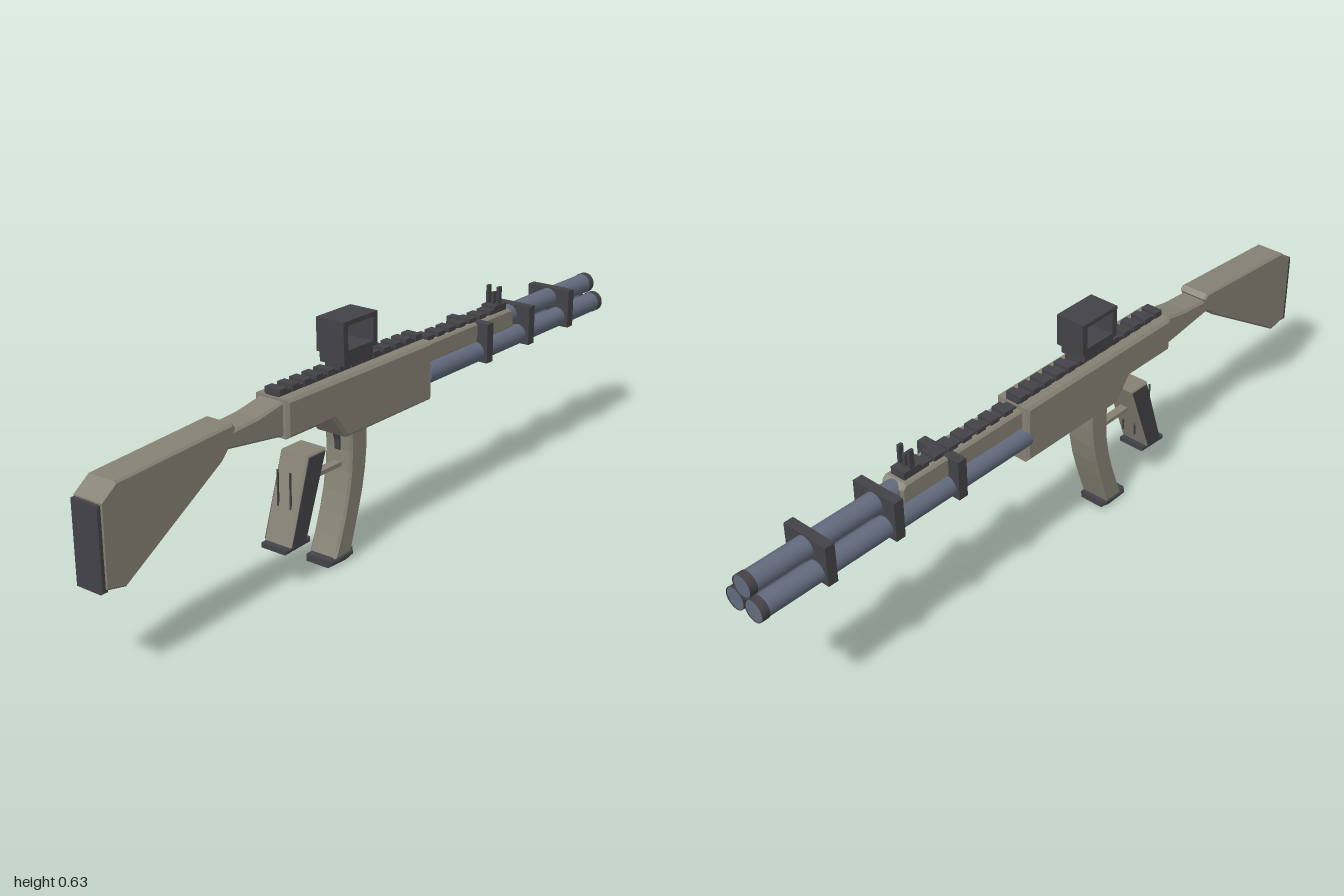
import * as THREE from 'three';

const tan = new THREE.MeshStandardMaterial({ color: 0x858174 });
tan.name = 'olive tan';
const dark = new THREE.MeshStandardMaterial({ color: 0x434247 });
dark.name = 'charcoal';
const steel = new THREE.MeshStandardMaterial({ color: 0x626a7d });
steel.name = 'blue steel';
const ringMat = dark.clone();
ringMat.name = 'charcoal open';
ringMat.side = THREE.DoubleSide;

export function createModel() {
  const model = new THREE.Group();
  const add = (name, geo, mat, x = 0, y = 0, z = 0) => {
    const m = new THREE.Mesh(geo, mat);
    m.name = name;
    m.position.set(x, y, z);
    model.add(m);
    return m;
  };
  // box given by half width and its y and z ranges
  const box = (name, mat, hw, y0, y1, z0, z1, x = 0) =>
    add(name, new THREE.BoxGeometry(hw * 2, y1 - y0, z1 - z0), mat, x, (y0 + y1) / 2, (z0 + z1) / 2);
  // side profile of [z, y] points, extruded across x with chamfered edges
  const slab = (name, mat, pts, hw, bevel = 0, x = 0, holes = []) => {
    const shape = new THREE.Shape(pts.map(p => new THREE.Vector2(...p)));
    holes.forEach(h => shape.holes.push(new THREE.Path(h.map(p => new THREE.Vector2(...p)))));
    const depth = 2 * (hw - bevel);
    const geo = new THREE.ExtrudeGeometry(shape, {
      depth, bevelEnabled: bevel > 0, bevelThickness: bevel, bevelSize: bevel,
      bevelOffset: -bevel, bevelSegments: 1, curveSegments: 6,
    });
    geo.translate(0, 0, -depth / 2).rotateY(-Math.PI / 2);
    return add(name, geo, mat, x);
  };

  // stock, butt plate and neck
  slab('stock', tan, [[0.99, 0.235], [0.99, 0.437], [0.945, 0.47], [0.588, 0.491], [0.577, 0.478],
    [0.604, 0.432], [0.625, 0.41], [0.93, 0.222]], 0.043, 0.005);
  slab('buttPlate', dark, [[1, 0.228], [1, 0.433], [0.98, 0.433], [0.98, 0.228]], 0.04, 0.003);
  slab('neck', tan, [[0.61, 0.47], [0.5, 0.477], [0.41, 0.493], [0.41, 0.404], [0.61, 0.432]], 0.038, 0.006);

  // receiver
  slab('receiver', tan, [[0.415, 0.498], [-0.152, 0.498], [-0.152, 0.338], [0.195, 0.338],
    [0.245, 0.4], [0.415, 0.4]], 0.053, 0.008);

  // handguard between the tubes
  slab('handguard', tan, [[-0.14, 0.487], [-0.545, 0.487], [-0.558, 0.475], [-0.558, 0.432], [-0.14, 0.432]],
    0.035, 0.005);

  // three barrels with dark muzzle rings
  for (const [x, y, z0] of [[0, 0.458, -0.54], [-0.031, 0.406, -0.14], [0.031, 0.406, -0.14]]) {
    const len = z0 + 0.998;
    add('barrel', new THREE.CylinderGeometry(0.028, 0.028, len, 24).rotateX(Math.PI / 2), steel, x, y, z0 - len / 2);
    add('muzzleRing', new THREE.CylinderGeometry(0.0295, 0.0295, 0.022, 24, 1, true).rotateX(Math.PI / 2),
      ringMat, x, y, -0.989);
  }

  // barrel clamps
  for (const z of [-0.395, -0.6, -0.807]) box('clamp', dark, 0.068, 0.379, 0.488, z - 0.014, z + 0.014);

  // top rails with cross teeth
  box('rearRail', dark, 0.02, 0.495, 0.508, -0.15, 0.41);
  for (let i = 0; i < 13; i++) {
    const z = -0.132 + i * 0.044;
    box('rearRailTooth', dark, 0.024, 0.5, 0.516, z - 0.013, z + 0.013);
  }
  box('frontRail', dark, 0.016, 0.484, 0.492, -0.5, -0.15);
  for (let i = 0; i < 7; i++) {
    const z = -0.185 - i * 0.048;
    box('frontRailTooth', dark, 0.022, 0.486, 0.499, z - 0.015, z + 0.015);
  }

  // boxy sight, open from side to side
  box('sightBase', dark, 0.039, 0.516, 0.546, 0.078, 0.19);
  slab('sightFrame', dark, [[0.197, 0.544], [0.197, 0.631], [0.065, 0.631], [0.065, 0.544]], 0.043, 0, 0,
    [[[0.18, 0.557], [0.082, 0.557], [0.082, 0.619], [0.18, 0.619]]]);

  // front sight with three prongs
  box('frontSightBase', dark, 0.022, 0.485, 0.507, -0.537, -0.483);
  for (const x of [-0.017, 0, 0.017]) {
    box('frontSightProng', dark, 0.004, 0.5, x ? 0.557 : 0.54, -0.516, -0.502, x);
  }

  // curved magazine and its foot
  slab('magazine', tan, [[0.172, 0.345], [0.104, 0.345], [0.105, 0.29], [0.111, 0.235], [0.122, 0.18],
    [0.138, 0.125], [0.156, 0.07], [0.174, 0.018], [0.238, 0.018], [0.218, 0.07], [0.199, 0.125],
    [0.184, 0.18], [0.174, 0.235], [0.17, 0.29]], 0.043, 0.006);
  slab('magazineFoot', dark, [[0.257, 0.002], [0.257, 0.022], [0.16, 0.026], [0.16, 0.006], [0.185, 0]],
    0.043, 0.008);

  // pistol grip with side panels and foot
  slab('grip', tan, [[0.336, 0.332], [0.265, 0.332], [0.345, 0.112], [0.404, 0.112]], 0.043, 0.004);
  for (const s of [-1, 1]) {
    slab('gripPanel', dark, [[0.332, 0.326], [0.272, 0.326], [0.349, 0.115], [0.4, 0.115]], 0.003, 0, s * 0.0415);
  }
  slab('gripFoot', dark, [[0.42, 0.1], [0.42, 0.113], [0.328, 0.118], [0.328, 0.104]], 0.041, 0.003);

  // trigger, linking bar and thin pins
  slab('trigger', dark, [[0.185, 0.342], [0.16, 0.342], [0.162, 0.3], [0.168, 0.285], [0.175, 0.29], [0.176, 0.315]], 0.008);
  box('linkBar', tan, 0.012, 0.246, 0.257, 0.16, 0.3);
  for (const s of [-1, 1]) {
    box('rearPin', dark, 0.002, 0.19, 0.295, 0.373, 0.377, s * 0.02);
    box('frontPin', dark, 0.002, 0.16, 0.26, 0.314, 0.318, s * 0.02);
  }
  return model;
}
